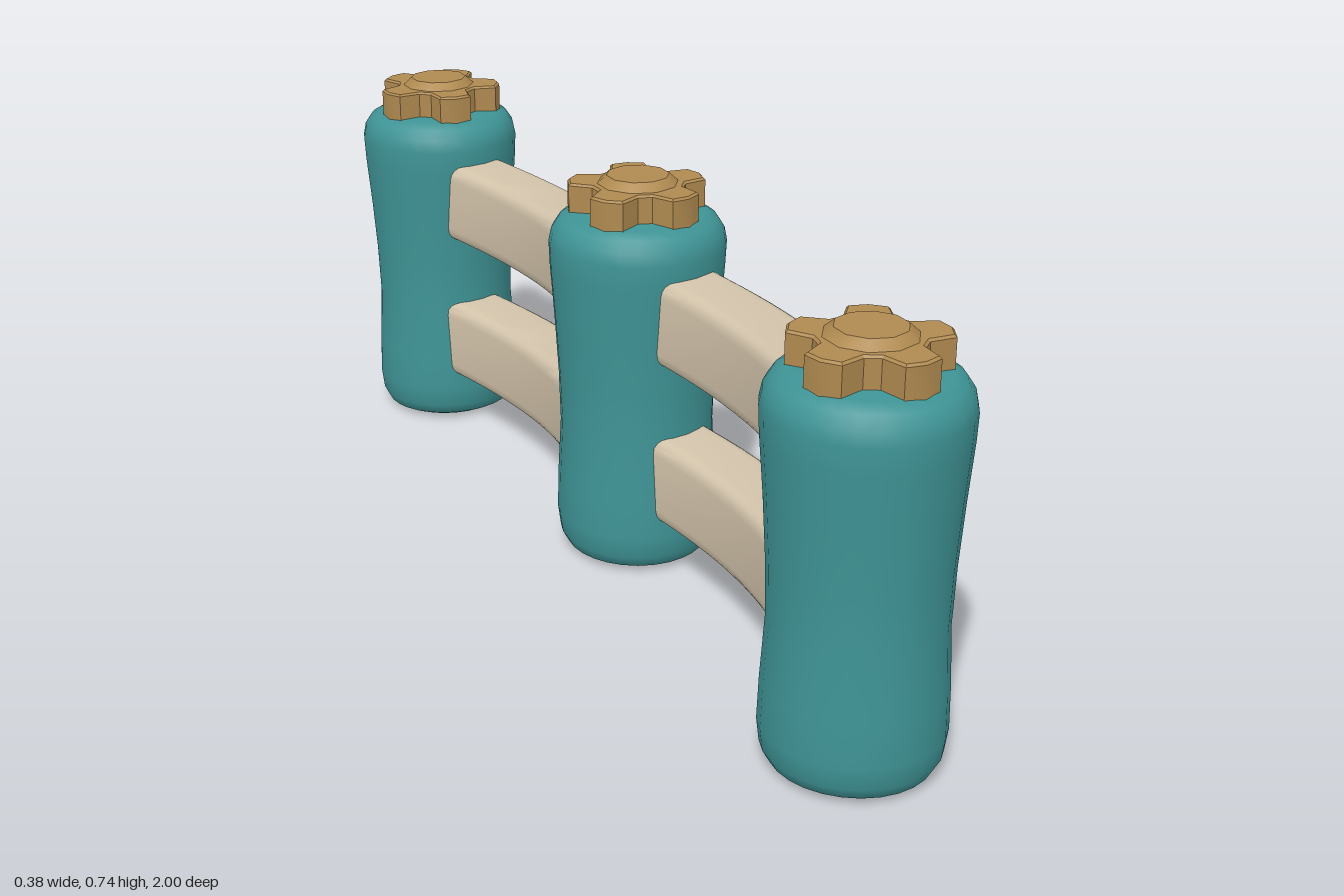
import * as THREE from 'three';
import { toCreasedNormals } from 'three/addons/utils/BufferGeometryUtils.js';

const teal = new THREE.MeshStandardMaterial({ color: 0x3f9496 });
teal.name = 'teal';
const ochre = new THREE.MeshStandardMaterial({ color: 0xb08a50 });
ochre.name = 'ochre';
const cream = new THREE.MeshStandardMaterial({ color: 0xd2c3aa });
cream.name = 'cream';

function mesh(name, geometry, material) {
  const m = new THREE.Mesh(geometry, material);
  m.name = name;
  return m;
}

// Waisted post with softly rounded rims and a slightly uneven outline
function postGeometry(phase) {
  const profile = [
    [0, 0], [0.115, 0.003], [0.135, 0.013], [0.147, 0.035], [0.152, 0.075], [0.15, 0.15],
    [0.144, 0.26], [0.147, 0.36], [0.154, 0.47], [0.162, 0.57], [0.164, 0.615],
    [0.159, 0.64], [0.146, 0.66], [0.125, 0.672], [0, 0.676],
  ].map(([r, y]) => new THREE.Vector2(r, y));
  const g = new THREE.LatheGeometry(profile, 28);
  const p = g.attributes.position;
  for (let i = 0; i < p.count; i++) {
    const a = Math.atan2(p.getZ(i), p.getX(i));
    const s = 1 + 0.008 * Math.sin(3 * a + phase + p.getY(i) * 5);
    p.setX(i, p.getX(i) * s);
    p.setZ(i, p.getZ(i) * s);
  }
  return g;
}

// Five blunt teeth around a hub, lying flat with its base at y = 0
function crownGeometry(turn) {
  const shape = new THREE.Shape();
  const tooth = [[-27, 0.086], [-15, 0.125], [0, 0.129], [15, 0.125], [27, 0.086]];
  for (let k = 0; k < 5; k++) {
    for (const [deg, r] of tooth) {
      // the shape's y becomes -z once laid flat
      const a = THREE.MathUtils.degToRad(turn + k * 72 + deg);
      const x = r * Math.cos(a), y = r * Math.sin(a);
      if (k === 0 && deg === -27) shape.moveTo(x, y);
      else shape.lineTo(x, y);
    }
  }
  shape.closePath();
  const g = new THREE.ExtrudeGeometry(shape, {
    depth: 0.062, bevelEnabled: true, bevelThickness: 0.004,
    bevelSize: 0.004, bevelOffset: -0.003, bevelSegments: 1,
  });
  g.rotateX(-Math.PI / 2);
  return toCreasedNormals(g, 0.5);
}

// Rounded rectangular bar, bowed sideways and sagging a little
function railGeometry(zMin, zMax, peakX, peakZ) {
  const w = 0.067, h = 0.083, r = 0.028;
  const s = new THREE.Shape();
  s.moveTo(-w + r, -h);
  s.lineTo(w - r, -h);
  s.quadraticCurveTo(w, -h, w, -h + r);
  s.lineTo(w, h - r);
  s.quadraticCurveTo(w, h, w - r, h);
  s.lineTo(-w + r, h);
  s.quadraticCurveTo(-w, h, -w, h - r);
  s.lineTo(-w, -h + r);
  s.quadraticCurveTo(-w, -h, -w + r, -h);
  const g = new THREE.ExtrudeGeometry(s, {
    depth: zMax - zMin, steps: 18, bevelEnabled: false, curveSegments: 4,
  });
  g.translate(0, 0, zMin);
  const p = g.attributes.position;
  const mid = (zMin + zMax) / 2;
  for (let i = 0; i < p.count; i++) {
    const z = p.getZ(i);
    p.setX(i, p.getX(i) + peakX - 0.62 * (z - peakZ) ** 2);
    p.setY(i, p.getY(i) + 0.2 * (z - mid) ** 2);
  }
  return toCreasedNormals(g, 0.7);
}

export function createModel() {
  const fence = new THREE.Group();
  fence.name = 'fence';

  // Posts: x, z and the turn of the crown
  const posts = [
    ['back', -0.03, -0.835, -95],
    ['middle', 0.025, 0.002, 0],
    ['front', -0.015, 0.835, -85],
  ];
  posts.forEach(([name, x, z, turn], i) => {
    const post = new THREE.Group();
    post.name = name + 'Post';
    post.position.set(x, 0, z);
    post.add(mesh('postBody', postGeometry(i * 2), teal));

    const crown = mesh('crown', crownGeometry(turn), ochre);
    crown.position.y = 0.66;
    post.add(crown);

    // Low domed hub on the crown
    const hub = new THREE.CylinderGeometry(0.058, 0.078, 0.018, 10);
    const cap = mesh('crownHub', toCreasedNormals(hub, 0.6), ochre);
    cap.position.y = 0.732;
    post.add(cap);
    fence.add(post);
  });

  // Two bowed rails in each bay
  const bays = [
    ['back', railGeometry(-0.8, -0.04, 0.051, -0.38)],
    ['front', railGeometry(0.04, 0.8, 0.084, 0.36)],
  ];
  for (const [name, geometry] of bays) {
    for (const [level, y] of [['Lower', 0.176], ['Upper', 0.488]]) {
      const rail = mesh(name + level + 'Rail', geometry, cream);
      rail.position.y = y;
      fence.add(rail);
    }
  }
  return fence;
}
